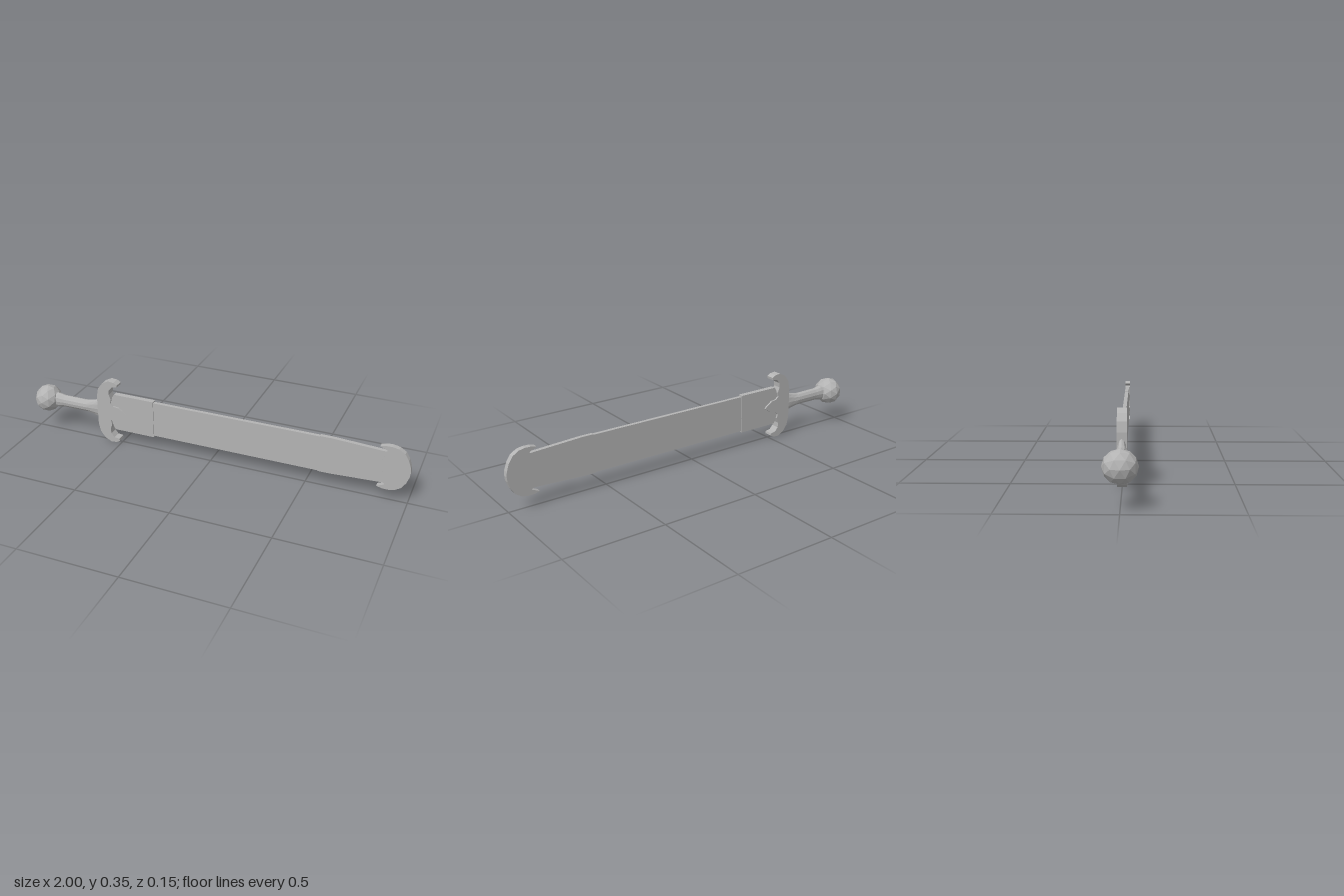
import * as THREE from 'three';

const MID = 0.18; // height of the sword's long axis

export function createModel() {
  const group = new THREE.Group();
  group.name = 'sheathedSword';
  const steel = new THREE.MeshStandardMaterial({ color: 0xb3b3b3, flatShading: true });
  steel.name = 'greySteel';

  const add = (name, geometry) => {
    const mesh = new THREE.Mesh(geometry, steel);
    mesh.name = name;
    mesh.position.y = MID;
    group.add(mesh);
  };

  // Plate symmetric about the long axis; points give the upper half, going clockwise
  const plate = (name, half, halfDepth) => {
    const lower = half.filter(([, y]) => y > 0).reverse().map(([x, y]) => [x, -y]);
    const outline = [...half, ...lower].map(([x, y]) => new THREE.Vector2(x, y));
    const geometry = new THREE.ExtrudeGeometry(new THREE.Shape(outline), {
      depth: halfDepth * 2, bevelEnabled: false,
    });
    geometry.translate(0, 0, -halfDepth);
    add(name, geometry);
  };

  // Faceted pommel
  const pommel = new THREE.IcosahedronGeometry(0.075, 1);
  pommel.scale(0.9, 0.96, 1);
  pommel.translate(-0.933, 0, 0);
  add('pommel', pommel);

  // Grip: oval sections [x, half height, half depth], flaring into the guard
  const sections = [
    [-0.9, 0.04, 0.03], [-0.865, 0.04, 0.028], [-0.83, 0.033, 0.025], [-0.7, 0.032, 0.025],
    [-0.66, 0.04, 0.022], [-0.625, 0.052, 0.02], [-0.6, 0.054, 0.019],
  ];
  const grip = new THREE.LatheGeometry(sections.map(([x, h]) => new THREE.Vector2(h, x)), 12);
  grip.rotateZ(-Math.PI / 2);
  const pos = grip.attributes.position;
  for (let i = 0; i < pos.count; i++) {
    const [, h, d] = sections[i % sections.length];
    pos.setZ(i, pos.getZ(i) * d / h);
  }
  grip.computeVertexNormals();
  add('grip', grip);

  // Guard with curled horns and a pointed tongue over the sheath
  plate('guard', [
    [-0.625, 0], [-0.625, 0.08], [-0.615, 0.125], [-0.59, 0.158], [-0.555, 0.176],
    [-0.525, 0.173], [-0.505, 0.162], [-0.507, 0.15], [-0.535, 0.146], [-0.553, 0.125],
    [-0.555, 0.1], [-0.545, 0.072], [-0.55, 0.05], [-0.535, 0.036], [-0.505, 0.031],
    [-0.485, 0.018], [-0.462, 0],
  ], 0.022);

  // Sheath throat, body and slightly stepped, tapering lower end
  plate('sheathThroat', [[-0.565, 0], [-0.54, 0.085], [-0.53, 0.101], [-0.31, 0.101], [-0.31, 0]], 0.0135);
  plate('sheathBody', [[-0.32, 0], [-0.32, 0.094], [0.57, 0.094], [0.57, 0]], 0.0095);
  plate('sheathEnd', [
    [0.56, 0], [0.56, 0.097], [0.62, 0.097], [0.76, 0.09], [0.9, 0.083], [0.9, 0],
  ], 0.0102);

  // Crescent chape at the tip, with a wavy inner edge
  plate('chape', [
    [0.878, 0], [0.872, 0.02], [0.862, 0.04], [0.872, 0.06], [0.878, 0.083], [0.886, 0.091],
    [0.87, 0.098], [0.848, 0.108], [0.875, 0.115], [0.905, 0.116], [0.935, 0.11],
    [0.965, 0.091], [0.985, 0.06], [0.997, 0.025], [1, 0],
  ], 0.0135);

  return group;
}
